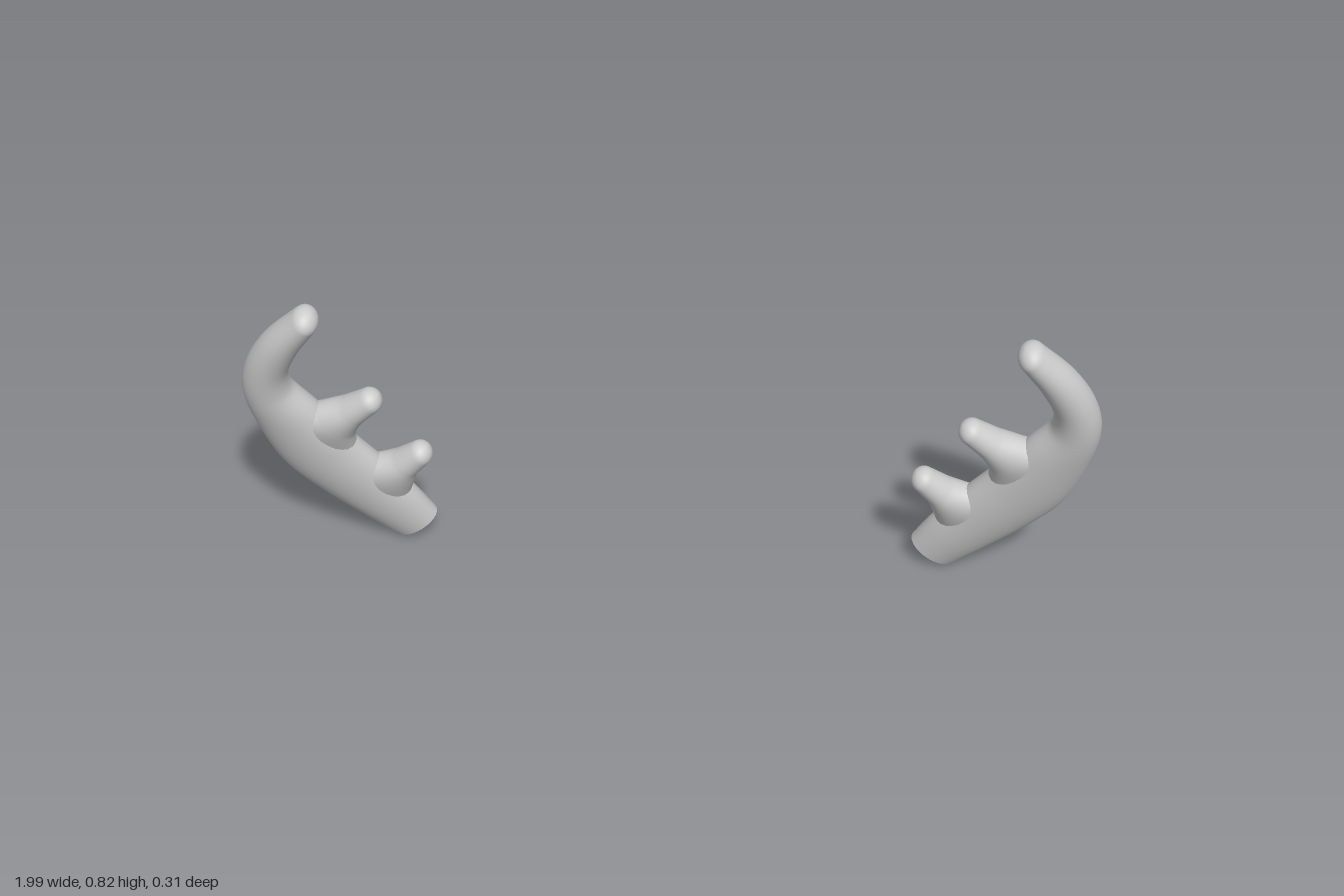
import * as THREE from 'three';

const SIDES = 28, STEPS = 40, CAP = 7;
const LEAN = 0.3, OFFSET = -0.125; // the antler lies in the plane z = LEAN * y + OFFSET
const NORMAL = new THREE.Vector3(0, -LEAN, 1).normalize();

// Stations are [x, y, half width in the plane, half thickness across it].
const BEAM = [
  [0.638, 0.045, 0.068, 0.043], [0.692, 0.12, 0.082, 0.049], [0.77, 0.22, 0.096, 0.053],
  [0.84, 0.315, 0.1, 0.055], [0.897, 0.435, 0.084, 0.055], [0.935, 0.535, 0.06, 0.053],
  [0.929, 0.612, 0.051, 0.05], [0.886, 0.7, 0.045, 0.047], [0.817, 0.788, 0.033, 0.042],
];
const LOWER_TINE = [
  [0.735, 0.185, 0.12, 0.038], [0.678, 0.238, 0.067, 0.045],
  [0.641, 0.276, 0.04, 0.041], [0.601, 0.316, 0.031, 0.034],
];
const UPPER_TINE = [
  [0.85, 0.372, 0.135, 0.04], [0.79, 0.432, 0.062, 0.047],
  [0.746, 0.471, 0.039, 0.041], [0.701, 0.509, 0.031, 0.034],
];

// Sweeps an elliptical section along the stations; open at the root, rounded at the tip.
function sweep(stations, side) {
  const path = new THREE.CatmullRomCurve3(
    stations.map(([x, y]) => new THREE.Vector3(x, y, LEAN * y + OFFSET)));
  const sizes = new THREE.CatmullRomCurve3(
    stations.map(([, , w, t]) => new THREE.Vector3(w, t, 0)));
  const positions = [], index = [];

  function ring(centre, tangent, w, t) {
    const across = new THREE.Vector3().crossVectors(NORMAL, tangent).normalize();
    for (let j = 0; j < SIDES; j++) {
      const a = (j / SIDES) * Math.PI * 2;
      const p = centre.clone()
        .addScaledVector(across, w * Math.cos(a))
        .addScaledVector(NORMAL, t * Math.sin(a));
      positions.push(side * p.x, p.y, p.z);
    }
  }

  for (let i = 0; i <= STEPS; i++) {
    const u = i / STEPS, size = sizes.getPoint(u);
    ring(path.getPoint(u), path.getTangent(u), size.x, size.y);
  }
  // Rounded tip
  const end = path.getPoint(1), dir = path.getTangent(1), size = sizes.getPoint(1);
  for (let i = 1; i <= CAP; i++) {
    const a = (i / CAP) * Math.PI / 2, k = Math.max(Math.cos(a), 0.001);
    ring(end.clone().addScaledVector(dir, size.x * Math.sin(a)), dir, size.x * k, size.y * k);
  }

  for (let i = 0; i < STEPS + CAP; i++) {
    for (let j = 0; j < SIDES; j++) {
      const next = (j + 1) % SIDES;
      const a = i * SIDES + j, b = i * SIDES + next;
      const c = b + SIDES, d = a + SIDES;
      if (side > 0) index.push(a, b, c, a, c, d);
      else index.push(a, c, b, a, d, c);
    }
  }
  const geometry = new THREE.BufferGeometry();
  geometry.setAttribute('position', new THREE.Float32BufferAttribute(positions, 3));
  geometry.setIndex(index);
  geometry.computeVertexNormals();
  return geometry;
}

export function createModel() {
  const material = new THREE.MeshStandardMaterial({ color: 0xcccccc, side: THREE.DoubleSide });
  const model = new THREE.Group();
  model.name = 'antlers';

  // Left and right antlers, each a curved beam with two inward tines
  for (const [name, side] of [['leftAntler', 1], ['rightAntler', -1]]) {
    const antler = new THREE.Group();
    antler.name = name;
    for (const [part, stations] of [['beam', BEAM], ['lowerTine', LOWER_TINE], ['upperTine', UPPER_TINE]]) {
      const mesh = new THREE.Mesh(sweep(stations, side), material);
      mesh.name = part;
      antler.add(mesh);
    }
    model.add(antler);
  }
  return model;
}
